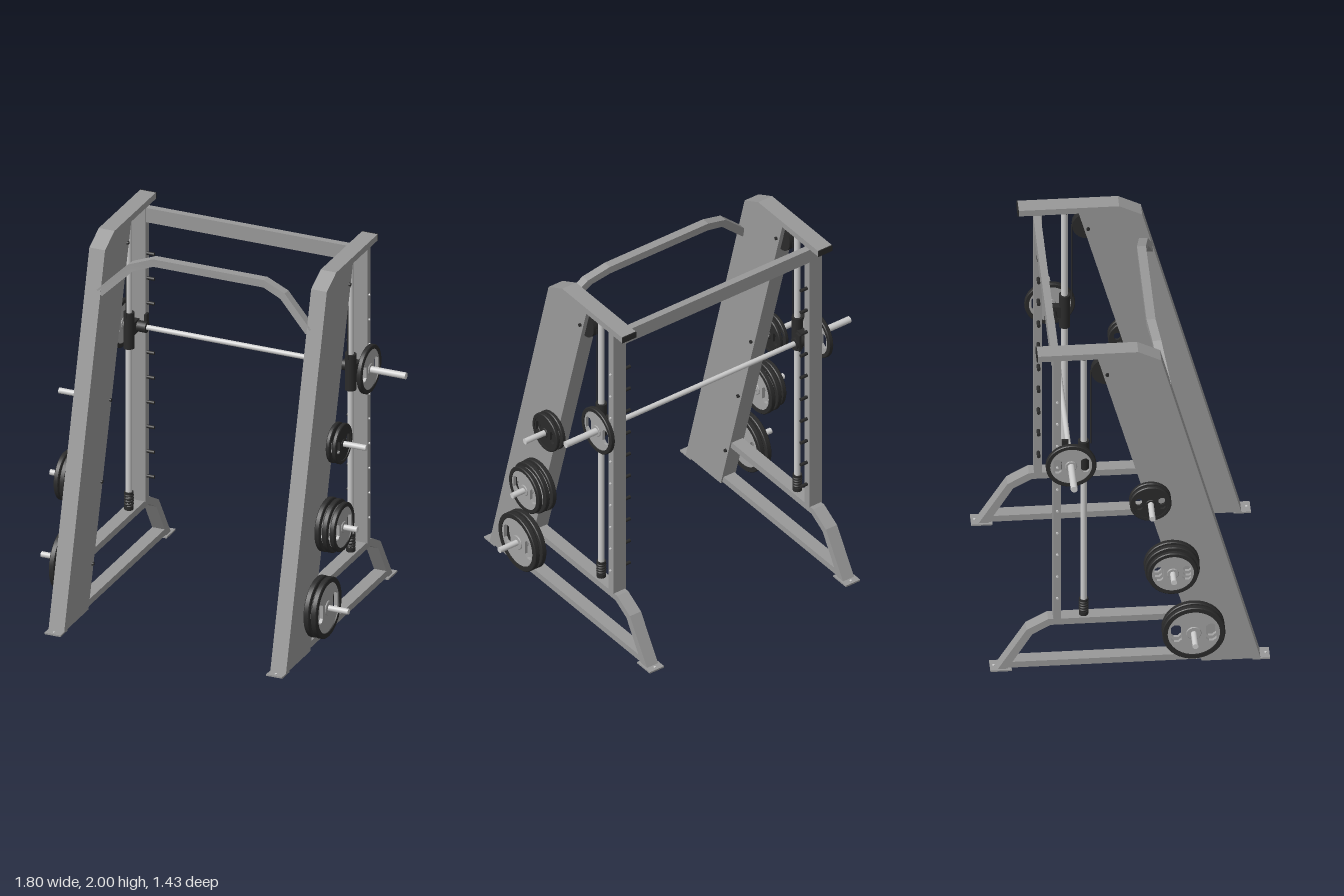
import * as THREE from 'three';
import { toCreasedNormals } from 'three/addons/utils/BufferGeometryUtils.js';

const material = (name, color) => {
  const m = new THREE.MeshStandardMaterial({ color });
  m.name = name;
  return m;
};

export function createModel() {
  const frame = material('frame grey', 0x999999);
  const steel = material('bright steel', 0xcdcdcd);
  const black = material('black rubber', 0x2b2b2b);
  const plateGrey = material('plate grey', 0xa3a3a3);
  const model = new THREE.Group();
  const SIDE = 0.621; // centre of each side frame

  const add = (parent, name, geo, mat, x = 0, y = 0, z = 0) => {
    const mesh = new THREE.Mesh(geo, mat);
    mesh.name = name;
    mesh.position.set(x, y, z);
    parent.add(mesh);
    return mesh;
  };
  const box = (parent, name, mat, w, h, d, x, y, z) =>
    add(parent, name, new THREE.BoxGeometry(w, h, d), mat, x, y, z);
  // rod along x between two x positions
  const rodX = (parent, name, mat, r, x0, x1, y, z) =>
    add(parent, name, new THREE.CylinderGeometry(r, r, Math.abs(x1 - x0), 20).rotateZ(Math.PI / 2),
      mat, (x0 + x1) / 2, y, z);
  const rodY = (parent, name, mat, r, y0, y1, x, z) =>
    add(parent, name, new THREE.CylinderGeometry(r, r, y1 - y0, 20), mat, x, (y0 + y1) / 2, z);
  // side profile of [z, y] points, given a width along x
  const profile = (points, width) => {
    const shape = new THREE.Shape(points.map(([z, y]) => new THREE.Vector2(-z, y)));
    return new THREE.ExtrudeGeometry(shape, { depth: width, bevelEnabled: false })
      .translate(0, 0, -width / 2).rotateY(Math.PI / 2);
  };
  // closed ring turned around the x axis
  const ring = (rIn, rOut, t, bevel) => {
    const h = t / 2;
    const pts = [[rIn, -h], [rOut - bevel, -h], [rOut, -h + bevel], [rOut, h - bevel],
      [rOut - bevel, h], [rIn, h], [rIn, -h]].map(([r, y]) => new THREE.Vector2(r, y));
    return toCreasedNormals(new THREE.LatheGeometry(pts, 40).rotateZ(Math.PI / 2), 0.6);
  };

  // weight plate: rubber rim, recessed web with two grip slots, hub
  const weightPlate = (parent, x, y, z, r, t, webMat) => {
    const plate = new THREE.Group();
    plate.name = 'weightPlate';
    plate.position.set(x, y, z);
    parent.add(plate);
    add(plate, 'plateRim', ring(r * 0.83, r, t, 0.004), black);
    const web = new THREE.Shape().absarc(0, 0, r * 0.85, 0, Math.PI * 2);
    for (const s of [-1, 1]) {
      const c = s * r * 0.55, w = r * 0.17, h = r * 0.33, k = r * 0.1;
      web.holes.push(new THREE.Path([
        [c - w, -h + k], [c - w + k, -h], [c + w - k, -h], [c + w, -h + k],
        [c + w, h - k], [c + w - k, h], [c - w + k, h], [c - w, h - k],
      ].map(([a, b]) => new THREE.Vector2(a, b))));
    }
    const d = t * 0.6;
    add(plate, 'plateWeb', new THREE.ExtrudeGeometry(web, { depth: d, bevelEnabled: false, curveSegments: 20 })
      .translate(0, 0, -d / 2).rotateY(Math.PI / 2), webMat);
    add(plate, 'plateHub', ring(0.014, r * 0.24, t, 0.003), webMat);
  };

  const storage = [ // peg height, peg depth, plates as [x, radius, thickness], web material
    { y: 1.075, z: 0.1, plates: [[0.689, 0.107, 0.022], [0.724, 0.107, 0.022]], mat: black },
    { y: 0.662, z: 0.21, plates: [[0.694, 0.143, 0.028], [0.735, 0.141, 0.028], [0.773, 0.13, 0.026]], mat: plateGrey },
    { y: 0.247, z: 0.32, plates: [[0.692, 0.162, 0.03], [0.734, 0.162, 0.03]], mat: plateGrey },
  ];

  for (const s of [1, -1]) {
    const side = new THREE.Group();
    side.name = s > 0 ? 'leftSide' : 'rightSide';
    model.add(side);
    const cx = s * SIDE;

    // sloping column running into the top beam
    add(side, 'column', profile([[0.668, 0.008], [0.16, 1.94], [0.042, 2], [-0.472, 2],
      [-0.472, 1.965], [-0.165, 1.965], [0.366, 0.008]], 0.088), frame, cx);
    box(side, 'beamCap', black, 0.088, 0.035, 0.006, cx, 1.9825, -0.475);

    // base: lower rail, bent rear leg and foot plates
    box(side, 'lowerRail', frame, 0.07, 0.036, 1.0, cx, 0.033, -0.13);
    add(side, 'rearLeg', profile([[0.3, 0.313], [-0.42, 0.313], [-0.53, 0.25], [-0.678, 0.008],
      [-0.628, 0.008], [-0.5, 0.222], [-0.405, 0.276], [0.3, 0.276]], 0.07), frame, cx);
    for (const z of [0.672, -0.661]) {
      const dir = Math.sign(z);
      box(side, 'footPlate', frame, 0.09, 0.009, z > 0 ? 0.09 : 0.11, cx, 0.0045, z);
      rodY(side, 'footBolt', steel, 0.006, 0.008, 0.013, cx, dir * 0.697);
    }

    // rear upright with its row of safety catches
    box(side, 'rearUpright', frame, 0.08, 1.655, 0.04, cx, 1.138, -0.373);
    for (let i = 0; i < 10; i++) {
      const y = 0.45 + i * 0.139;
      rodX(side, 'safetyCatch', black, 0.009, s * 0.54, s * 0.59, y, -0.373);
      rodX(side, 'catchBolt', steel, 0.006, s * 0.655, s * 0.668, y, -0.373);
    }

    // guide rod, bumper and top stop
    rodY(side, 'guideRod', steel, 0.017, 0.31, 1.966, cx, -0.235);
    rodY(side, 'bumperBase', black, 0.024, 0.313, 0.335, cx, -0.235);
    for (let i = 0; i < 4; i++) {
      add(side, 'bumperCoil', new THREE.TorusGeometry(0.019, 0.007, 8, 20).rotateX(Math.PI / 2),
        black, cx, 0.345 + i * 0.016, -0.235);
    }
    rodY(side, 'bumperTop', black, 0.024, 0.4, 0.412, cx, -0.235);
    rodY(side, 'topStop', black, 0.021, 1.945, 1.966, cx, -0.235);

    // counterweight pulley and cable
    rodX(side, 'pulley', black, 0.08, cx - 0.02, cx + 0.02, 1.867, -0.117);
    rodX(side, 'pulleyAxle', black, 0.009, s * 0.568, s * 0.675, 1.867, -0.117);
    rodY(side, 'cable', black, 0.003, 1.4, 1.867, cx, -0.198);

    // carriage holding the bar
    rodY(side, 'carriageSleeve', black, 0.029, 1.22, 1.42, cx, -0.235);
    box(side, 'carriageArm', black, 0.04, 0.07, 0.08, cx, 1.318, -0.28);
    rodX(side, 'barCollar', black, 0.03, s * 0.55, s * 0.6, 1.318, -0.305);
    box(side, 'barHook', black, 0.012, 0.1, 0.035, s * 0.562, 1.335, -0.325);
    rodX(side, 'barSleeve', steel, 0.018, s * 0.6, s * 0.9, 1.318, -0.305);
    weightPlate(side, s * 0.692, 1.318, -0.305, 0.13, 0.026, plateGrey);

    // storage pegs and their plates
    for (const { y, z, plates, mat } of storage) {
      rodX(side, 'storagePeg', steel, 0.0155, s * 0.62, s * 0.86, y, z);
      rodX(side, 'pegBolt', black, 0.009, s * 0.567, s * 0.58, y, z);
      for (const [x, r, t] of plates) weightPlate(side, s * x, y, z, r, t, mat);
    }
  }

  // bar and rear crossbeam
  rodX(model, 'bar', steel, 0.014, -0.6, 0.6, 1.318, -0.305);
  box(model, 'rearCrossbeam', frame, 1.17, 0.08, 0.038, 0, 1.92, -0.379);

  // bent pull-up bar: square section swept through mitred stations
  const half = [[0.585, 1.722, 0.192], [0.425, 1.878, 0.155], [0.31, 1.918, 0.135]];
  const path = [...half.map(([x, y, z]) => [-x, y, z]), ...half.slice().reverse()]
    .map((p) => new THREE.Vector3(...p));
  const pos = [], idx = [];
  path.forEach((p, i) => {
    const a = path[Math.max(i - 1, 0)], b = path[Math.min(i + 1, path.length - 1)];
    const tangent = b.clone().sub(a).normalize();
    const up = new THREE.Vector3(-tangent.y, tangent.x, 0).normalize();
    for (const [u, w] of [[-1, -1], [-1, 1], [1, 1], [1, -1]]) {
      pos.push(p.x + up.x * u * 0.021, p.y + up.y * u * 0.021, p.z + w * 0.023);
    }
    if (i === 0) return;
    for (let k = 0; k < 4; k++) {
      const c = (i - 1) * 4 + k, d = (i - 1) * 4 + (k + 1) % 4;
      idx.push(c, c + 4, d, d, c + 4, d + 4);
    }
  });
  const barGeo = new THREE.BufferGeometry();
  barGeo.setAttribute('position', new THREE.Float32BufferAttribute(pos, 3));
  barGeo.setIndex(idx);
  add(model, 'pullUpBar', toCreasedNormals(barGeo, 0.3), frame);

  return model;
}
